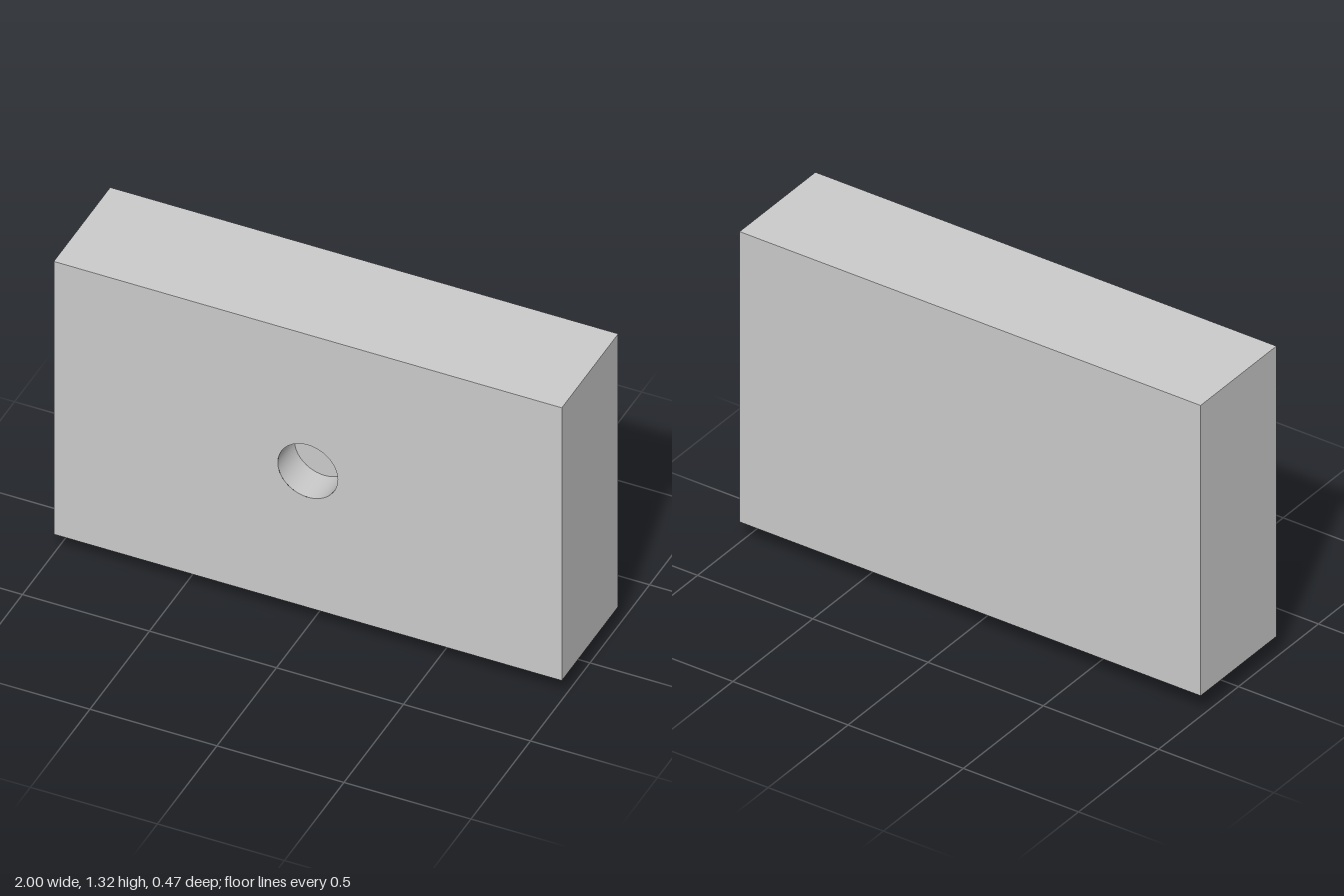
import * as THREE from 'three';

const WIDTH = 2, BOTTOM = 0.087, TOP = 1.32, DEPTH = 0.474;
const HOLE_Y = 0.703, HOLE_R = 0.118, HOLE_DEPTH = 0.14, HOLE_SIDES = 48;

export function createModel() {
  const group = new THREE.Group();
  const material = new THREE.MeshStandardMaterial({ color: 0xcccccc });
  const inner = new THREE.MeshStandardMaterial({ color: 0xcccccc, side: THREE.BackSide });

  const add = (name, geometry, x, y, z, mat = material) => {
    const mesh = new THREE.Mesh(geometry, mat);
    mesh.name = name;
    mesh.position.set(x, y, z);
    group.add(mesh);
    return mesh;
  };

  const height = TOP - BOTTOM, midY = (TOP + BOTTOM) / 2, front = DEPTH / 2;

  // Casing: a box whose own front face (group 4) is left out
  const box = new THREE.BoxGeometry(WIDTH, height, DEPTH);
  const index = Array.from(box.index.array);
  index.splice(box.groups[4].start, box.groups[4].count);
  box.setIndex(index);
  box.clearGroups();
  add('casing', box, 0, midY, 0);

  // Front panel with the round opening
  const panel = new THREE.Shape();
  panel.moveTo(-WIDTH / 2, BOTTOM);
  panel.lineTo(WIDTH / 2, BOTTOM);
  panel.lineTo(WIDTH / 2, TOP);
  panel.lineTo(-WIDTH / 2, TOP);
  panel.closePath();
  panel.holes.push(new THREE.Path().absarc(0, HOLE_Y, HOLE_R, 0, Math.PI * 2, true));
  add('frontPanel', new THREE.ShapeGeometry(panel, HOLE_SIDES), 0, 0, front);

  // Blind round recess: wall seen from inside, and floor
  const wall = new THREE.CylinderGeometry(HOLE_R, HOLE_R, HOLE_DEPTH, HOLE_SIDES, 1, true);
  wall.rotateX(Math.PI / 2).rotateZ(Math.PI / 2);
  add('recessWall', wall, 0, HOLE_Y, front - HOLE_DEPTH / 2, inner);
  add('recessFloor', new THREE.CircleGeometry(HOLE_R, HOLE_SIDES), 0, HOLE_Y, front - HOLE_DEPTH);

  // Two plug prongs underneath, near the right end
  for (const [name, left, right] of [['outerProng', -0.81, -0.715], ['innerProng', -0.64, -0.548]]) {
    add(name, new THREE.BoxGeometry(right - left, BOTTOM, 0.192), (left + right) / 2, BOTTOM / 2, 0);
  }

  return group;
}
